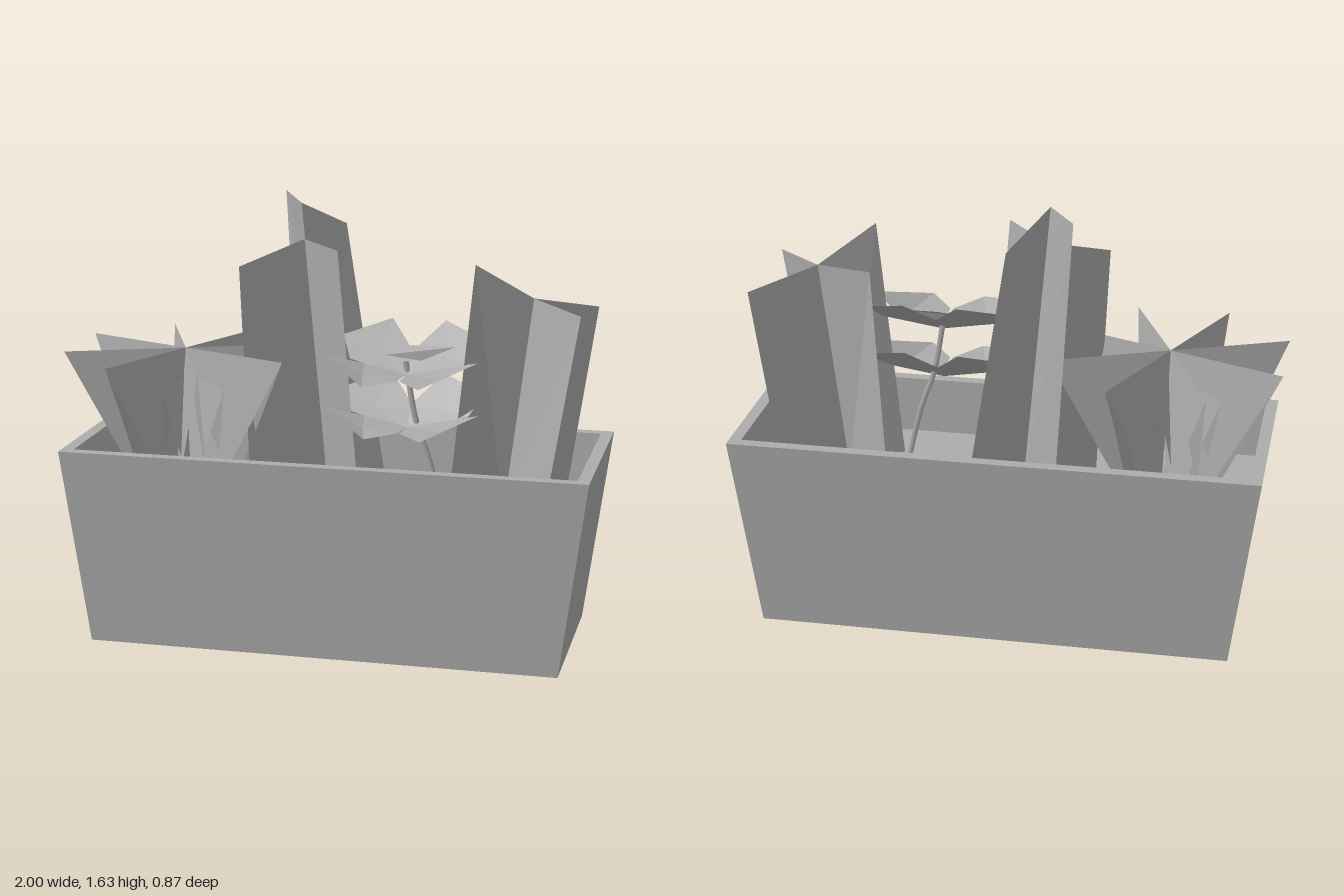
import * as THREE from 'three';

const grey = new THREE.MeshStandardMaterial({ color: 0xacacac, side: THREE.DoubleSide });
grey.name = 'plain grey';

const SOIL = 0.52, FOOT = 0.5;

// Flat-faced mesh from a list of polygons, each split into a fan
function facets(name, polygons) {
  const out = [];
  for (const p of polygons)
    for (let i = 1; i < p.length - 1; i++) out.push(...p[0], ...p[i], ...p[i + 1]);
  const g = new THREE.BufferGeometry();
  g.setAttribute('position', new THREE.Float32BufferAttribute(out, 3));
  g.computeVertexNormals();
  const m = new THREE.Mesh(g, grey);
  m.name = name;
  return m;
}

// Tapered trough: outer sheet, flat rim and inner sheet, open below
function planter() {
  const group = new THREE.Group();
  group.name = 'planter';
  const ring = (hx, y, hz) =>
    [[-1, 1], [1, 1], [1, -1], [-1, -1]].map(([a, b]) => [0.02 + a * hx, y, -0.0225 + b * hz]);
  const rings = [
    ring(0.88, 0, 0.35), ring(0.9775, 0.735, 0.3875),
    ring(0.9325, 0.735, 0.3425), ring(0.84, 0.035, 0.307),
  ];
  const walls = [];
  for (let r = 0; r < 3; r++)
    for (let i = 0; i < 4; i++) {
      const a = rings[r], b = rings[r + 1], j = (i + 1) % 4;
      walls.push([a[i], a[j], b[j], b[i]]);
    }
  group.add(facets('planterWalls', walls), facets('soil', [ring(0.904, SOIL, 0.332)]));
  return group;
}

// Ring of eight pointed leaves, each a ridge with two sloping sides
function starLeaves(name, start, y, reach, footReach, footWidth) {
  const faces = [];
  for (let i = 0; i < 8; i++) {
    const t = start + i * Math.PI / 4, c = Math.cos(t), s = Math.sin(t);
    const at = (r, w, h) => [r * c - w * s, h, r * s + w * c];
    const top = at(0, 0, y), tip = at(reach, 0, y);
    const left = at(footReach, footWidth, FOOT), right = at(footReach, -footWidth, FOOT);
    faces.push([top, left, tip], [top, tip, right]);
  }
  const m = facets(name, faces);
  m.position.set(-0.58, 0, -0.02);
  return m;
}

// Upright blades fanning out from one leaning stem line
function bladePlant(name, foot, blades) {
  const group = new THREE.Group();
  group.name = name;
  for (const [inner, outer, base] of blades)
    group.add(facets('blade', [[foot, base, outer, inner]]));
  return group;
}

// Broad leaf outlines: middle first, then around the edge from the base
const backLeaf = [
  [0.13, 0.055, -0.08], [0, -0.01, 0], [0.22, 0.04, -0.04],
  [0.265, 0.11, -0.13], [0.1, 0.16, -0.23], [0, 0.065, -0.11],
];
const frontLeaf = [
  [0.14, 0.015, 0.12], [0, 0, 0], [0.16, 0.03, -0.02],
  [0.28, 0.08, 0.11], [0.1, 0.015, 0.3], [0.005, 0.01, 0.16],
];

function leafyPlant() {
  const group = new THREE.Group();
  group.name = 'leafyPlant';
  const path = new THREE.CatmullRomCurve3([
    [0.47, 0.33, 0.1], [0.38, 0.72, 0.1], [0.33, 0.86, 0.1], [0.29, 1.08, 0.1],
  ].map(p => new THREE.Vector3(...p)));
  const stem = new THREE.Mesh(new THREE.TubeGeometry(path, 12, 0.011, 6), grey);
  stem.name = 'stem';
  group.add(stem);
  // Two tiers of four leaves
  for (const [y, depth] of [[1.04, 1], [0.845, 0.9]])
    for (const outline of [backLeaf, frontLeaf])
      for (const side of [1, -1]) {
        const [mid, ...edge] = outline.map(p => [0.3 + side * p[0], y + p[1], 0.13 + depth * p[2]]);
        group.add(facets('broadLeaf', edge.map((p, i) => [mid, p, edge[(i + 1) % edge.length]])));
      }
  // Small young leaf at the crown
  group.add(facets('youngLeaf', [
    [[0.21, 1.1, 0.09], [0.3, 1.13, 0.04], [0.46, 1.13, 0.04], [0.34, 1.08, 0.07]],
  ]));
  return group;
}

export function createModel() {
  const model = new THREE.Group();
  model.name = 'plantedTrough';
  model.add(planter());

  const star = new THREE.Group();
  star.name = 'starPlant';
  star.add(
    starLeaves('outerLeaves', Math.PI / 8, 1.065, 0.455, 0.16, 0.062),
    starLeaves('innerLeaves', 0, 0.965, 0.295, 0.115, 0.058),
  );
  model.add(star);

  // Each blade: top at the stem line, top outer corner, bottom outer corner
  const frontTop = [-0.14, 1.48, -0.11], backTop = [-0.15, 1.615, -0.11];
  model.add(bladePlant('tallBladePlant', [-0.05, FOOT, -0.11], [
    [frontTop, [-0.34, 1.4, 0.08], [-0.297, FOOT, 0.09]],
    [frontTop, [0.04, 1.48, 0.12], [0.118, FOOT, 0.09]],
    [backTop, [-0.265, 1.63, -0.325], [-0.195, FOOT, -0.29]],
    [backTop, [-0.03, 1.51, -0.33], [0.135, FOOT, -0.3]],
  ]));

  const top = [0.735, 1.31, -0.025];
  model.add(bladePlant('shortBladePlant', [0.637, FOOT, -0.025], [
    [top, [0.93, 1.29, 0.175], [0.805, FOOT, 0.175]],
    [top, [0.95, 1.255, -0.21], [0.84, FOOT, -0.21]],
    [top, [0.54, 1.445, 0.095], [0.447, FOOT, 0.1]],
    [top, [0.51, 1.335, -0.135], [0.44, FOOT, -0.21]],
  ]));

  model.add(leafyPlant());
  return model;
}
